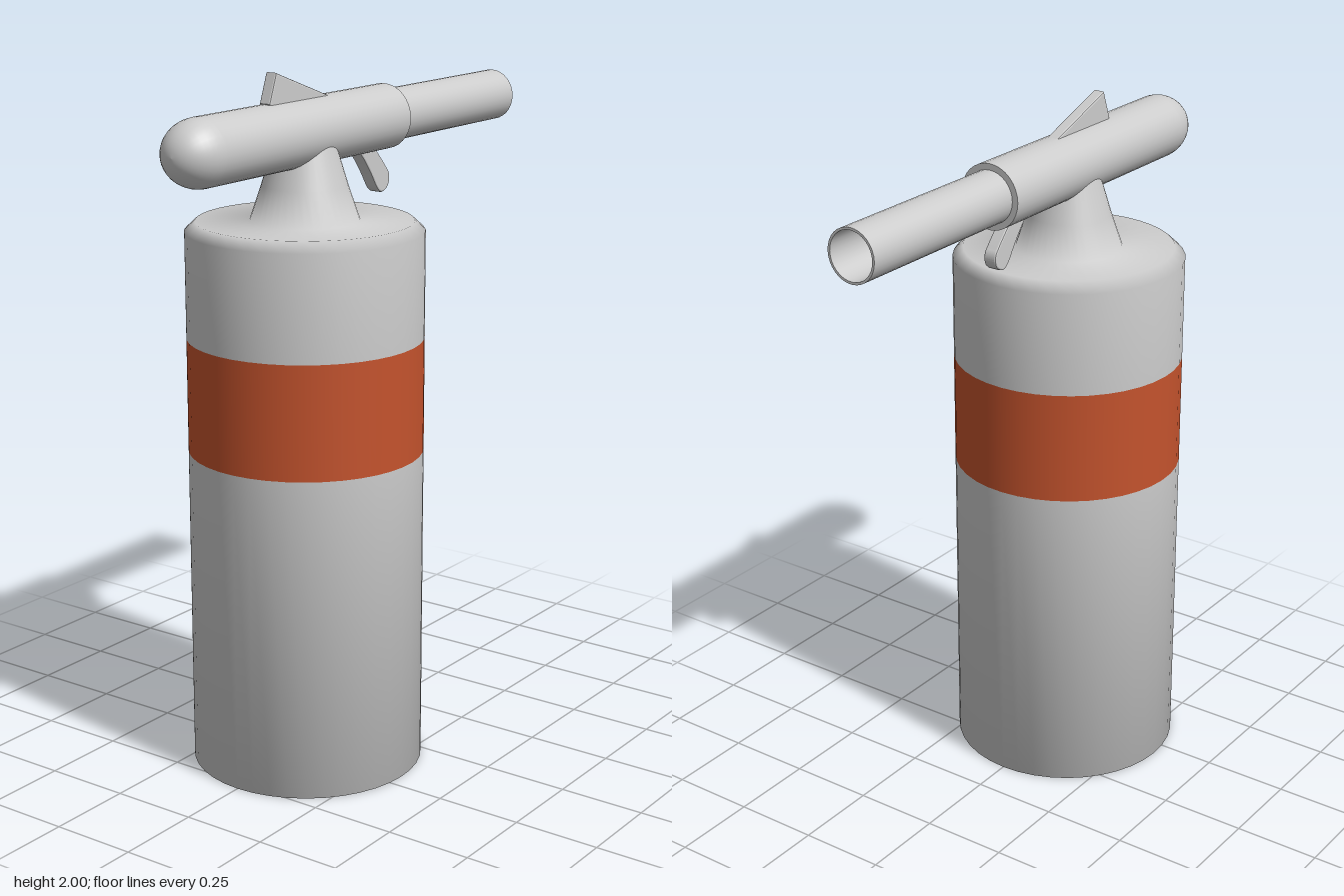
import * as THREE from 'three';

const AXIS_X = -0.2; // bottle axis
const BARREL_Y = 1.825; // barrel axis height

const grey = new THREE.MeshStandardMaterial({ color: 0xcccccc });
const greyOpen = new THREE.MeshStandardMaterial({ color: 0xcccccc, side: THREE.DoubleSide });
const orange = new THREE.MeshStandardMaterial({ color: 0xc4532d });

// Smooth turned part from [radius, height] pairs
function turned(name, profile, material, segments = 40) {
  const points = profile.map(([r, h]) => new THREE.Vector2(r, h));
  const mesh = new THREE.Mesh(new THREE.LatheGeometry(points, segments), material);
  mesh.name = name;
  return mesh;
}

// Thin plate cut from an outline in the xy plane, centred on z = 0
function plate(name, shape, thickness) {
  const bevel = 0.005;
  const geometry = new THREE.ExtrudeGeometry(shape, {
    depth: thickness - 2 * bevel, bevelEnabled: true, bevelThickness: bevel,
    bevelSize: bevel, bevelOffset: -bevel, bevelSegments: 2, curveSegments: 10,
  });
  geometry.translate(0, 0, bevel - thickness / 2);
  const mesh = new THREE.Mesh(geometry, grey);
  mesh.name = name;
  return mesh;
}

export function createModel() {
  const model = new THREE.Group();
  model.name = 'gasTorch';

  // Bottle: lower body, coloured band, shoulder with conical neck
  const bottle = new THREE.Group();
  bottle.name = 'bottle';
  bottle.position.x = AXIS_X;
  const R = 0.333;
  bottle.add(
    turned('lowerBody', [[0, 0], [R, 0], [R, 0.93]], grey),
    turned('band', [[R, 0.93], [R, 1.255]], orange),
    turned('shoulderAndNeck', [
      [R, 1.255], [R, 1.555], [0.303, 1.583], [0.153, 1.583], [0.12, 1.68], [0.078, 1.82],
    ], grey),
  );
  model.add(bottle);

  // Barrel group: profiles run along +x
  const barrel = new THREE.Group();
  barrel.name = 'barrel';
  barrel.position.y = BARREL_Y;
  barrel.rotation.z = -Math.PI / 2;

  // Rounded rear cap
  const cap = [];
  for (let i = 0; i <= 10; i++) {
    const a = (i / 10) * Math.PI / 2;
    cap.push([0.093 * Math.sin(a), -0.65 - 0.11 * Math.cos(a)]);
  }
  barrel.add(
    turned('rearCap', cap, grey, 32),
    turned('handle', [[0.093, -0.65], [0.093, 0.18]], grey, 32),
    turned('handleEnd', [[0.093, 0.18], [0.07, 0.18]], grey, 32),
    turned('nozzle', [[0.075, 0.16], [0.075, 0.76]], greyOpen, 32),
    turned('nozzleRim', [[0.075, 0.76], [0.068, 0.76]], grey, 32),
    turned('nozzleBore', [[0.068, 0.76], [0.066, 0.22], [0, 0.2]], greyOpen, 32),
  );
  model.add(barrel);

  // Slanted fin rising from the top of the handle
  const fin = new THREE.Shape();
  fin.moveTo(-0.345, 2.0);
  fin.lineTo(-0.375, 1.92);
  fin.lineTo(-0.36, 1.88);
  fin.lineTo(-0.06, 1.88);
  fin.lineTo(-0.06, 1.898);
  model.add(plate('topFin', fin, 0.036));

  // Curved trigger hanging below the handle
  const trigger = new THREE.Shape();
  trigger.moveTo(0.0, 1.77);
  trigger.quadraticCurveTo(0.06, 1.72, 0.11, 1.64);
  trigger.quadraticCurveTo(0.13, 1.608, 0.15, 1.612);
  trigger.quadraticCurveTo(0.182, 1.62, 0.182, 1.65);
  trigger.quadraticCurveTo(0.182, 1.665, 0.172, 1.675);
  trigger.quadraticCurveTo(0.13, 1.725, 0.08, 1.77);
  model.add(plate('trigger', trigger, 0.04));

  return model;
}
